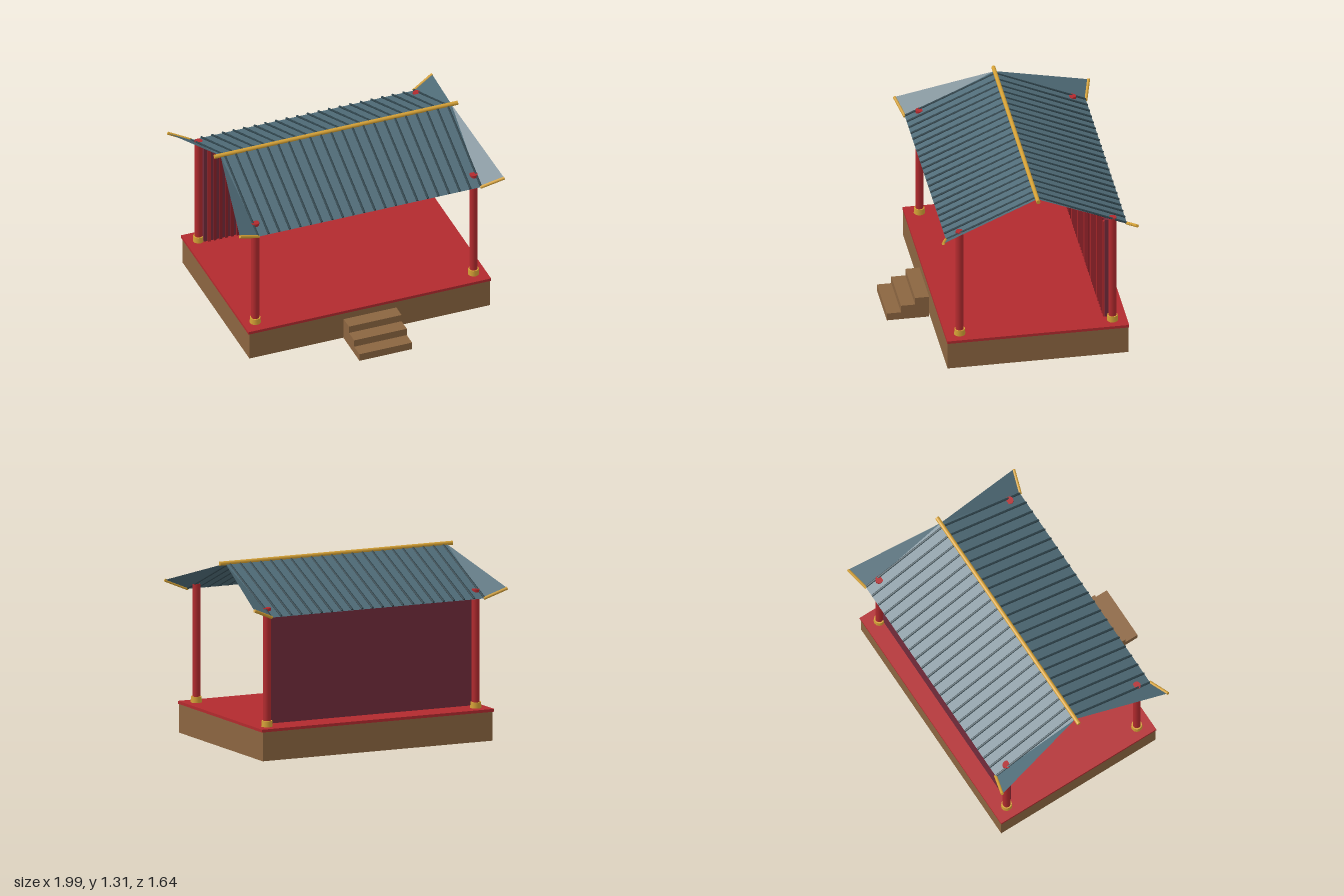
import * as THREE from 'three';

const CZ = -0.122; // depth of the building's centre line
const mat = (name, color, side = THREE.FrontSide) => {
  const m = new THREE.MeshStandardMaterial({ color, side });
  m.name = name;
  return m;
};

export function createModel() {
  const model = new THREE.Group();
  model.name = 'pavilion';
  const wood = mat('brown wood', 0x8b6540);
  const red = mat('lacquer red', 0xb22a2e);
  const gold = mat('gold', 0xd4a035);
  const tile = mat('slate blue roof', 0x4f6b77, THREE.DoubleSide);
  const rib = mat('dark slate ribs', 0x2f444c);
  const wine = mat('wine wall', 0x722b3b);
  const batten = mat('dark red battens', 0x8c2028);

  const add = (parent, name, geo, material, x = 0, y = 0, z = 0) => {
    const mesh = new THREE.Mesh(geo, material);
    mesh.name = name;
    mesh.position.set(x, y, z);
    parent.add(mesh);
    return mesh;
  };
  // box given by its lowest and highest corner
  const box = (parent, name, material, [x0, y0, z0], [x1, y1, z1]) =>
    add(parent, name, new THREE.BoxGeometry(x1 - x0, y1 - y0, z1 - z0), material,
      (x0 + x1) / 2, (y0 + y1) / 2, (z0 + z1) / 2);
  // round bar between two points
  const bar = (parent, name, material, a, b, r, sides) => {
    const p = new THREE.Vector3(...a), q = new THREE.Vector3(...b);
    const d = q.clone().sub(p);
    const mesh = add(parent, name, new THREE.CylinderGeometry(r, r, d.length(), sides), material);
    mesh.position.copy(p).add(q).multiplyScalar(0.5);
    mesh.quaternion.setFromUnitVectors(new THREE.Vector3(0, 1, 0), d.normalize());
    return mesh;
  };

  // platform and floor
  box(model, 'platform', wood, [-0.9, 0, -0.76], [0.9, 0.205, 0.518]);
  box(model, 'floor', red, [-0.908, 0.205, -0.765], [0.908, 0.225, 0.521]);

  // front steps
  for (let i = 0; i < 3; i++) {
    box(model, 'step', wood, [-0.197, 0, 0.725 - i * 0.1], [0.197, 0.055 * (i + 1) - 0.002 * i, 0.825 - i * 0.1]);
  }

  // columns on gold feet
  for (const x of [-0.817, 0.817]) {
    for (const z of [CZ - 0.54, CZ + 0.54]) {
      add(model, 'column', new THREE.CylinderGeometry(0.028, 0.028, 0.84, 16), red, x, 0.645, z);
      add(model, 'columnBase', new THREE.CylinderGeometry(0.037, 0.04, 0.042, 12), gold, x, 0.246, z);
    }
  }

  // back wall with vertical battens on its inner face
  box(model, 'backWall', wine, [-0.795, 0.24, -0.645], [0.795, 1.03, -0.612]);
  for (let i = -18; i <= 18; i++) {
    const x = i * 0.0428 + 0.012;
    box(model, 'wallBatten', i % 6 ? batten : red, [x - 0.01, 0.24, -0.612], [x + 0.01, 1.02, -0.6]);
  }

  // one roof slope, turned around for the back
  const ridgeY = 1.295, eaveY = 1.012, eaveZ = 0.64;
  const ridge = s => [s * 0.865, ridgeY, 0];
  const eave = s => [s * 0.83, eaveY, eaveZ];
  const tip = s => [s * 0.99, 1.08, 0.687];
  for (const turn of [0, Math.PI]) {
    const slope = new THREE.Group();
    slope.name = turn ? 'backSlope' : 'frontSlope';
    slope.position.z = CZ;
    slope.rotation.y = turn;
    model.add(slope);

    const faces = [
      ridge(-1), eave(-1), eave(1), ridge(-1), eave(1), ridge(1),
      ridge(-1), tip(-1), eave(-1), ridge(1), eave(1), tip(1),
    ];
    const geo = new THREE.BufferGeometry();
    geo.setAttribute('position', new THREE.Float32BufferAttribute(faces.flat(), 3));
    geo.computeVertexNormals();
    add(slope, 'roofSheet', geo, tile);

    for (let i = 0; i < 22; i++) {
      const x = (i - 10.5) * 0.0795;
      bar(slope, 'roofRib', rib, [x, ridgeY - 0.002, 0.005], [x, eaveY + 0.005, eaveZ], 0.008, 6);
    }
    for (const s of [-1, 1]) bar(slope, 'eaveTrim', gold, eave(s), tip(s), 0.011, 8);
  }

  // ridge pole
  bar(model, 'ridgePole', gold, [-0.91, 1.298, CZ], [0.91, 1.298, CZ], 0.015, 12);

  return model;
}
